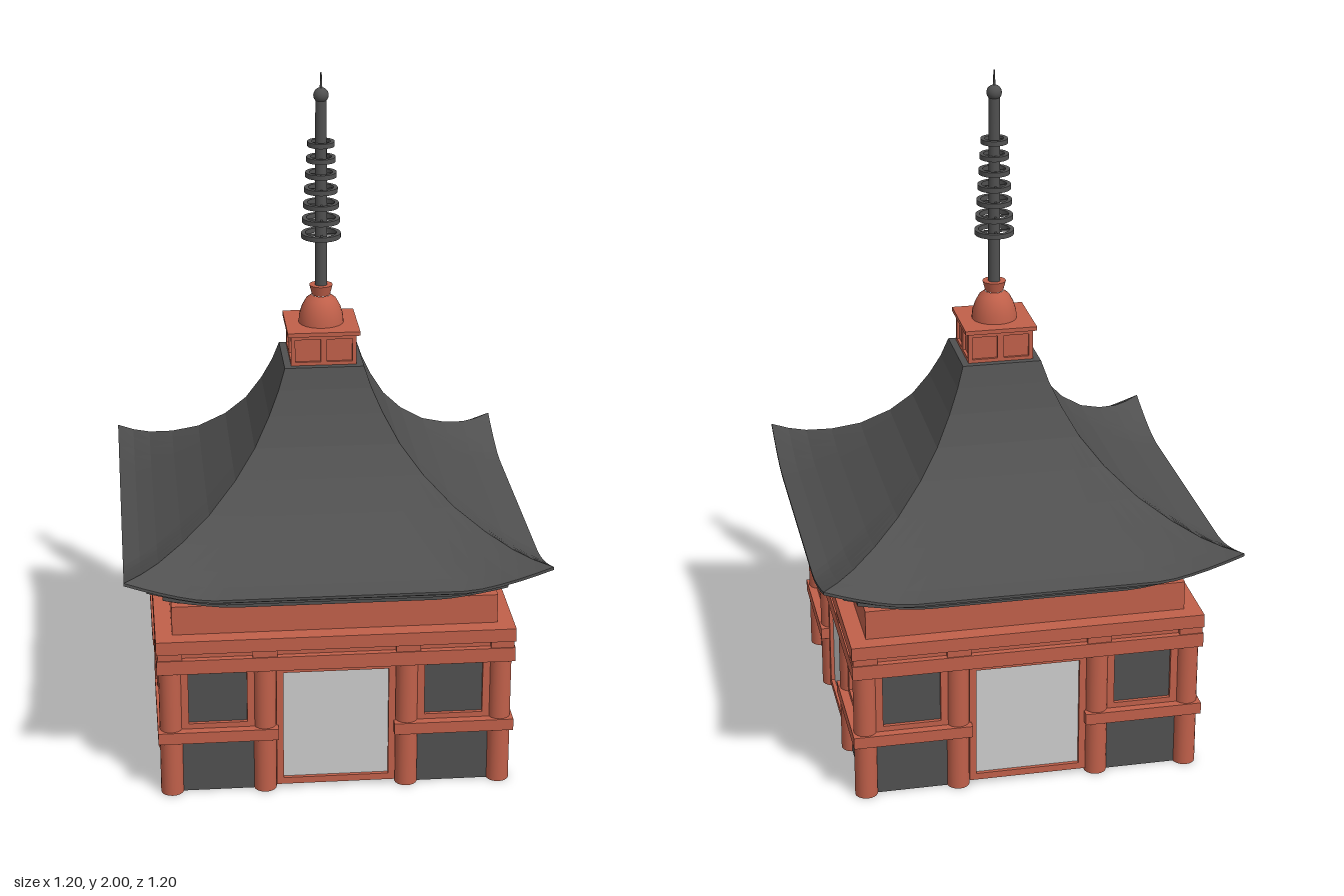
import * as THREE from 'three';

const red = new THREE.MeshStandardMaterial({ color: 0xc0604a });
const dark = new THREE.MeshStandardMaterial({ color: 0x505050 });
const grey = new THREE.MeshStandardMaterial({ color: 0xcccccc });
const roofMat = new THREE.MeshStandardMaterial({ color: 0x505050, flatShading: true, side: THREE.DoubleSide });

function add(parent, name, geometry, material, x = 0, y = 0, z = 0) {
  const mesh = new THREE.Mesh(geometry, material);
  mesh.name = name;
  mesh.position.set(x, y, z);
  parent.add(mesh);
  return mesh;
}

// Box given by its extents on each axis
function box(parent, name, material, x0, x1, y0, y1, z0, z1) {
  return add(parent, name, new THREE.BoxGeometry(x1 - x0, y1 - y0, z1 - z0), material,
    (x0 + x1) / 2, (y0 + y1) / 2, (z0 + z1) / 2);
}

// Rectangular frame with a hole, border b, extruded from z0 to z1
function frame(parent, name, material, x0, x1, y0, y1, b, z0, z1) {
  const rect = (P, a, c, d, e) => new P([[a, d], [c, d], [c, e], [a, e]].map(p => new THREE.Vector2(...p)));
  const shape = rect(THREE.Shape, x0, x1, y0, y1);
  shape.holes.push(rect(THREE.Path, x0 + b, x1 - b, y0 + b, y1 - b));
  add(parent, name, new THREE.ExtrudeGeometry(shape, { depth: z1 - z0, bevelEnabled: false }), material, 0, 0, z0);
}

function lathe(parent, name, material, points, segments = 24) {
  return add(parent, name, new THREE.LatheGeometry(points.map(p => new THREE.Vector2(...p)), segments), material);
}

// One wall, facing +z
function makeWall() {
  const wall = new THREE.Group();
  wall.name = 'wall';
  for (const x of [-0.475, -0.205, 0.205]) {
    add(wall, 'column', new THREE.CylinderGeometry(0.033, 0.033, 0.4, 20), red, x, 0.2, 0.475);
  }
  for (const x of [-0.475, -0.205, 0.205]) {
    box(wall, 'bracketBlock', red, x - 0.035, x + 0.035, 0.435, 0.455, 0.443, 0.51);
  }
  for (const s of [-1, 1]) {
    const span = (a, b) => (s > 0 ? [a, b] : [-b, -a]);
    box(wall, 'lowerPanel', dark, ...span(0.2, 0.47), 0, 0.18, 0.46, 0.48);
    box(wall, 'windowPane', dark, ...span(0.24, 0.44), 0.2, 0.395, 0.465, 0.477);
    frame(wall, 'windowFrame', red, ...span(0.235, 0.445), 0.2, 0.4, 0.021, 0.455, 0.488);
    box(wall, 'railBeam', red, ...span(0.167, 0.513), 0.17, 0.205, 0.442, 0.513);
  }
  // Doorway
  box(wall, 'door', grey, -0.155, 0.155, 0.025, 0.375, 0.463, 0.477);
  frame(wall, 'doorFrame', red, -0.172, 0.172, 0.012, 0.392, 0.02, 0.455, 0.488);
  // Beams along the top
  box(wall, 'lintelBeam', red, -0.513, 0.513, 0.392, 0.435, 0.44, 0.513);
  box(wall, 'beamCore', red, -0.49, 0.49, 0.435, 0.455, 0.45, 0.495);
  box(wall, 'upperBeam', red, -0.514, 0.514, 0.455, 0.495, 0.44, 0.514);
  return wall;
}

// Four-sided roof: rings of [half width, mid height, corner lift], from the underside to the top
const ROOF = [
  [0.44, 0.58, 0.0], [0.49, 0.585, 0.03], [0.49, 0.61, 0.03], [0.535, 0.615, 0.045], [0.535, 0.637, 0.048],
  [0.575, 0.64, 0.058], [0.575, 0.652, 0.06], [0.598, 0.652, 0.063], [0.598, 0.66, 0.064],
  [0.55, 0.676, 0.05], [0.5, 0.7, 0.036], [0.43, 0.744, 0.02], [0.35, 0.802, 0.008],
  [0.27, 0.878, 0.002], [0.21, 0.953, 0], [0.165, 1.033, 0], [0.135, 1.1, 0], [0.115, 1.16, 0],
];

function roofGeometry() {
  const n = 24, positions = [];
  const point = ([w, y, lift], i, side) => {
    const u = (2 * i) / n - 1;
    const rise = Math.max(0, (Math.abs(u) - 0.6) / 0.4) ** 1.4;
    return new THREE.Vector3(u * w, y + lift * rise, w)
      .applyAxisAngle(new THREE.Vector3(0, 1, 0), side * Math.PI / 2);
  };
  for (let side = 0; side < 4; side++) {
    for (let r = 0; r < ROOF.length - 1; r++) {
      for (let i = 0; i < n; i++) {
        const a = point(ROOF[r], i, side), b = point(ROOF[r], i + 1, side);
        const c = point(ROOF[r + 1], i + 1, side), d = point(ROOF[r + 1], i, side);
        for (const p of [a, b, c, a, c, d]) positions.push(p.x, p.y, p.z);
      }
    }
  }
  const g = new THREE.BufferGeometry();
  g.setAttribute('position', new THREE.Float32BufferAttribute(positions, 3));
  g.computeVertexNormals();
  return g;
}

// Pedestal, dome and ringed spire
function makeSpire() {
  const spire = new THREE.Group();
  spire.name = 'spire';
  box(spire, 'pedestal', red, -0.087, 0.087, 1.155, 1.25, -0.087, 0.087);
  for (let k = 0; k < 4; k++) {
    const face = new THREE.Group();
    face.name = 'pedestalFace';
    face.rotation.y = k * Math.PI / 2;
    frame(face, 'pedestalFrame', red, -0.095, 0.003, 1.158, 1.25, 0.012, 0.085, 0.095);
    frame(face, 'pedestalFrame', red, -0.003, 0.095, 1.158, 1.25, 0.012, 0.085, 0.095);
    spire.add(face);
  }
  box(spire, 'pedestalCap', red, -0.105, 0.105, 1.25, 1.262, -0.105, 0.105);
  lathe(spire, 'dome', red, [[0.066, 1.26], [0.064, 1.285], [0.056, 1.31], [0.044, 1.332], [0.027, 1.345]]);
  add(spire, 'domeCollar', new THREE.CylinderGeometry(0.034, 0.026, 0.03, 24), red, 0, 1.36, 0);
  add(spire, 'pole', new THREE.CylinderGeometry(0.016, 0.018, 0.57, 16), dark, 0, 1.655, 0);
  for (let i = 0; i < 7; i++) {
    const y = 1.525 + i * 0.045, r = 0.057 - i * 0.003, h = 0.007, inner = r - 0.012;
    lathe(spire, 'spireRing', dark, [[inner, y - h], [r, y - h], [r, y + h], [inner, y + h], [inner, y - h]])
      .geometry = ringGeometry(inner, r, y, h);
    for (const a of [0, Math.PI / 2]) {
      add(spire, 'ringSpoke', new THREE.BoxGeometry(2 * inner + 0.006, 0.006, 0.006), dark, 0, y, 0).rotation.y = a;
    }
  }
  add(spire, 'finialBall', new THREE.SphereGeometry(0.022, 16, 12), dark, 0, 1.935, 0);
  add(spire, 'finialTip', new THREE.CylinderGeometry(0.002, 0.004, 0.05, 8), dark, 0, 1.975, 0);
  return spire;
}

// Square-section ring lying flat, with sharp edges
function ringGeometry(inner, outer, y, h) {
  const shape = new THREE.Shape().absarc(0, 0, outer, 0, Math.PI * 2);
  shape.holes.push(new THREE.Path().absarc(0, 0, inner, 0, Math.PI * 2, true));
  return new THREE.ExtrudeGeometry(shape, { depth: 2 * h, bevelEnabled: false, curveSegments: 24 })
    .rotateX(-Math.PI / 2).translate(0, y - h, 0);
}

export function createModel() {
  const model = new THREE.Group();
  model.name = 'pagoda';
  for (let k = 0; k < 4; k++) {
    const wall = makeWall();
    wall.rotation.y = k * Math.PI / 2;
    model.add(wall);
  }
  box(model, 'upperBody', red, -0.466, 0.466, 0.485, 0.582, -0.466, 0.466);
  add(model, 'roof', roofGeometry(), roofMat);
  box(model, 'roofCap', dark, -0.115, 0.115, 1.15, 1.16, -0.115, 0.115);
  model.add(makeSpire());
  return model;
}
